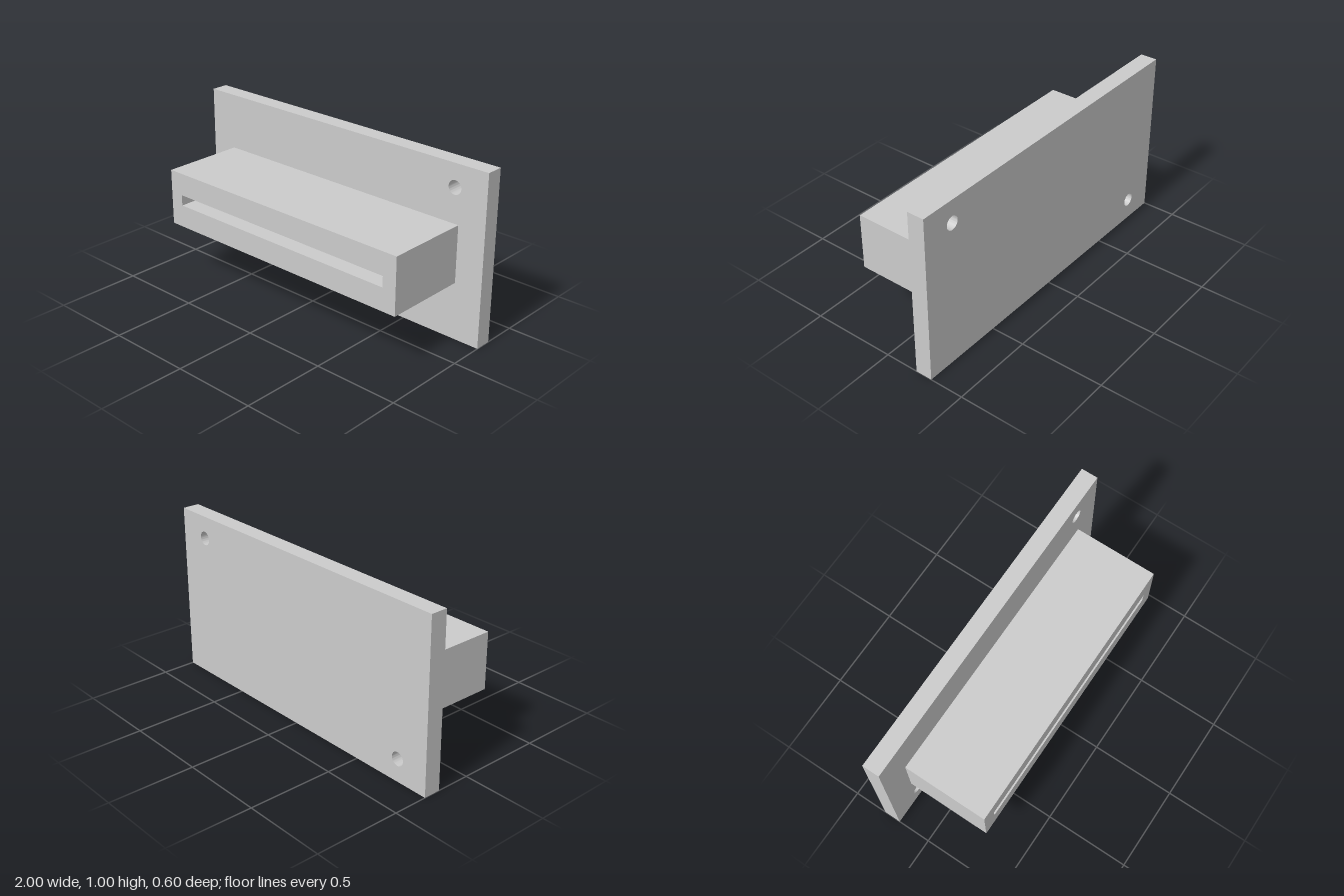
import * as THREE from 'three';
import { toCreasedNormals } from 'three/addons/utils/BufferGeometryUtils.js';

const BACK = -0.3, PLATE_FRONT = -0.2, FRONT = 0.3, MID = 0.5;

// Rectangle centred on (0, MID), as corner points
function rectPoints(w, h) {
  return [[-1, -1], [1, -1], [1, 1], [-1, 1]].map(
    ([sx, sy]) => new THREE.Vector2(sx * w / 2, MID + sy * h / 2));
}

// Extrude a shape between two z planes, keeping edges sharp and holes smooth
function slab(name, shape, z0, z1, material) {
  const geometry = new THREE.ExtrudeGeometry(shape, {
    depth: z1 - z0, bevelEnabled: false, curveSegments: 32,
  });
  geometry.translate(0, 0, z0);
  const mesh = new THREE.Mesh(toCreasedNormals(geometry, Math.PI / 6), material);
  mesh.name = name;
  return mesh;
}

export function createModel() {
  const group = new THREE.Group();
  group.name = 'slottedMount';
  const material = new THREE.MeshStandardMaterial({ color: 0xcccccc });

  // Mounting plate with two screw holes in opposite corners
  const plate = new THREE.Shape(rectPoints(2, 1));
  for (const s of [-1, 1]) {
    const hole = new THREE.Path();
    hole.absarc(s * 0.8, MID + s * 0.367, 0.04, 0, Math.PI * 2, true);
    plate.holes.push(hole);
  }
  group.add(slab('mountingPlate', plate, BACK, PLATE_FRONT, material));

  // Housing with a slot running back to the plate
  const housing = new THREE.Shape(rectPoints(1.667, 0.333));
  housing.holes.push(new THREE.Path(rectPoints(1.5, 0.064).reverse()));
  group.add(slab('slottedHousing', housing, PLATE_FRONT, FRONT, material));

  return group;
}
